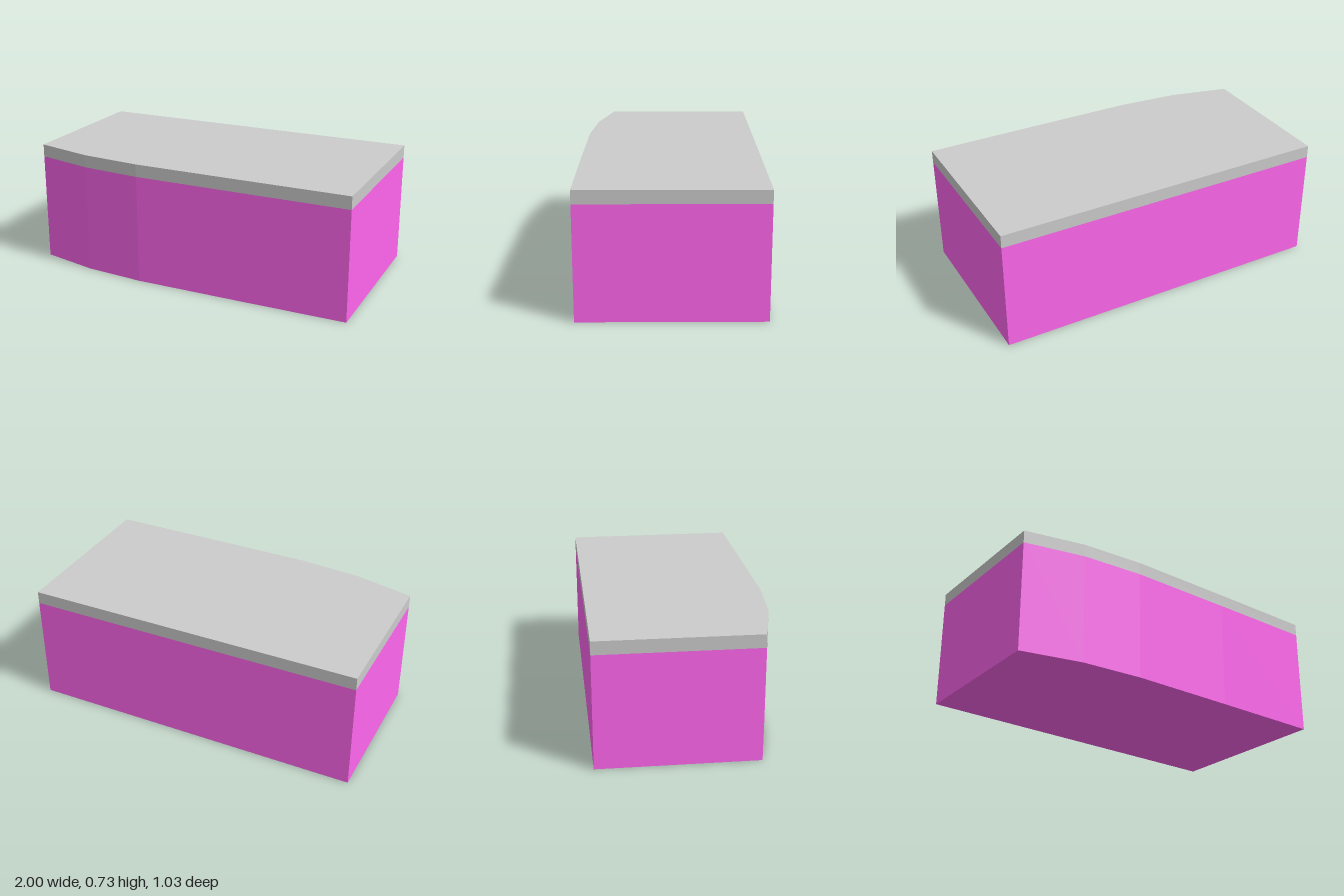
import * as THREE from 'three';

// Footprint as [x, z]: straight back and sides, front bending back towards -x
const footprint = [
  [-0.99, -0.517], [-1, 0.39], [-0.65, 0.475], [-0.29, 0.508],
  [0.34, 0.514], [1, 0.517], [1, -0.517],
];

// Upright prism over the footprint between two heights
function prism(name, bottom, top, color) {
  const shape = new THREE.Shape(footprint.map(([x, z]) => new THREE.Vector2(x, -z)));
  const geometry = new THREE.ExtrudeGeometry(shape, { depth: top - bottom, bevelEnabled: false });
  geometry.rotateX(-Math.PI / 2);
  geometry.translate(0, bottom, 0);
  const mesh = new THREE.Mesh(geometry, new THREE.MeshStandardMaterial({ color, flatShading: true }));
  mesh.name = name;
  return mesh;
}

export function createModel() {
  const model = new THREE.Group();
  model.name = 'building';
  // Coloured block of walls
  model.add(prism('walls', 0, 0.65, 0xff66ee));
  // Flat roof slab flush with the walls
  model.add(prism('roofSlab', 0.65, 0.725, 0xcccccc));
  return model;
}
